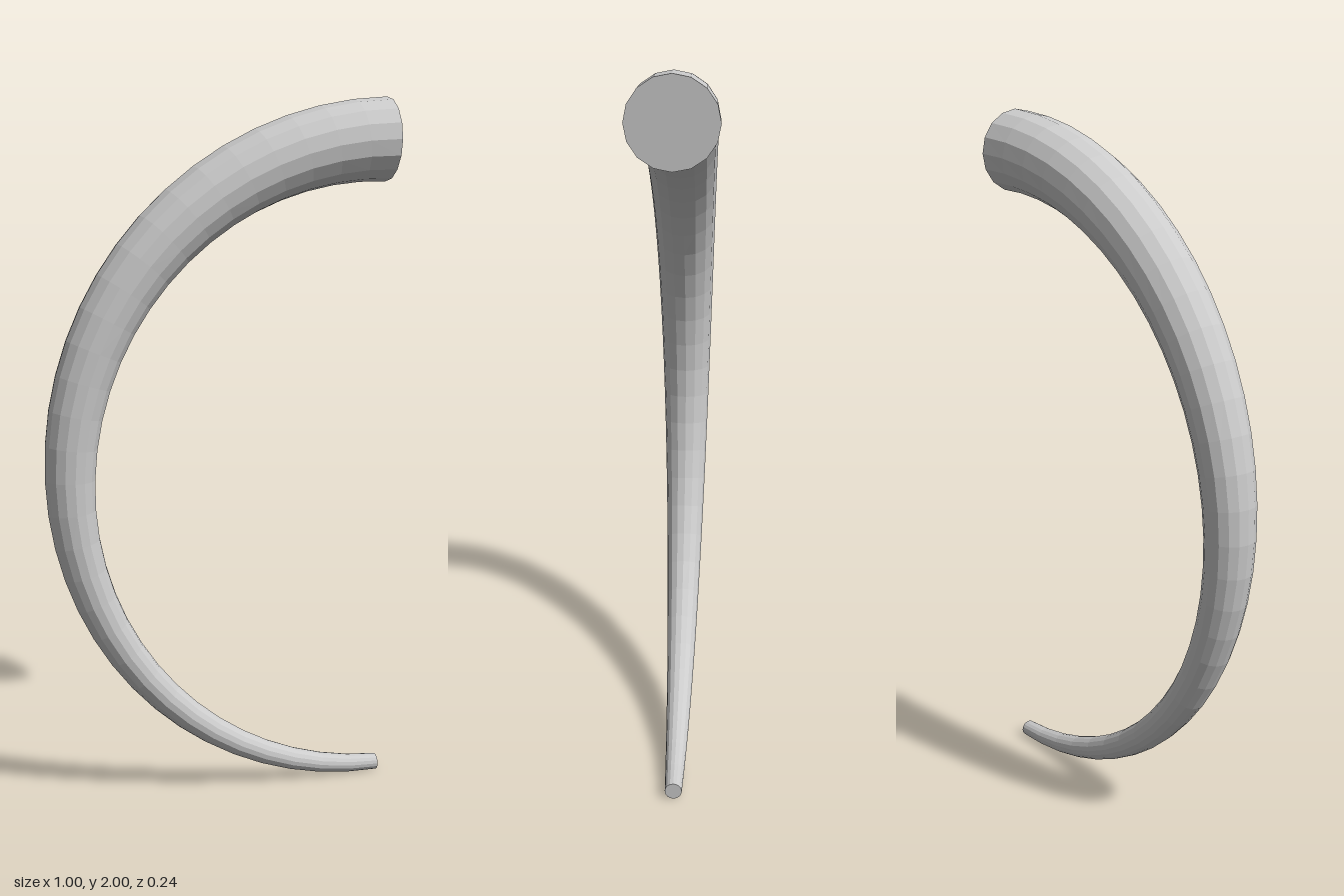
import * as THREE from 'three';

const BEND_RADIUS = 0.929;
const CENTRE_X = 0.5;
const CENTRE_Y = 0.953;

export function createModel() {
  const group = new THREE.Group();
  group.name = 'curvedHorn';

  // Tapered, capped 16-sided rod: thick root on top, thin tip below
  const geometry = new THREE.CylinderGeometry(0.118, 0.0236, 1, 16, 32);

  // Bend the rod into a half circle that opens towards +x
  const pos = geometry.attributes.position;
  for (let i = 0; i < pos.count; i++) {
    const angle = Math.PI * (1 - pos.getY(i));
    const radius = BEND_RADIUS - pos.getX(i);
    pos.setXY(i, CENTRE_X + radius * Math.cos(angle), CENTRE_Y + radius * Math.sin(angle));
  }
  geometry.computeVertexNormals();

  const horn = new THREE.Mesh(
    geometry,
    new THREE.MeshStandardMaterial({ color: 0xcccccc, flatShading: true })
  );
  horn.name = 'horn';
  group.add(horn);
  return group;
}
